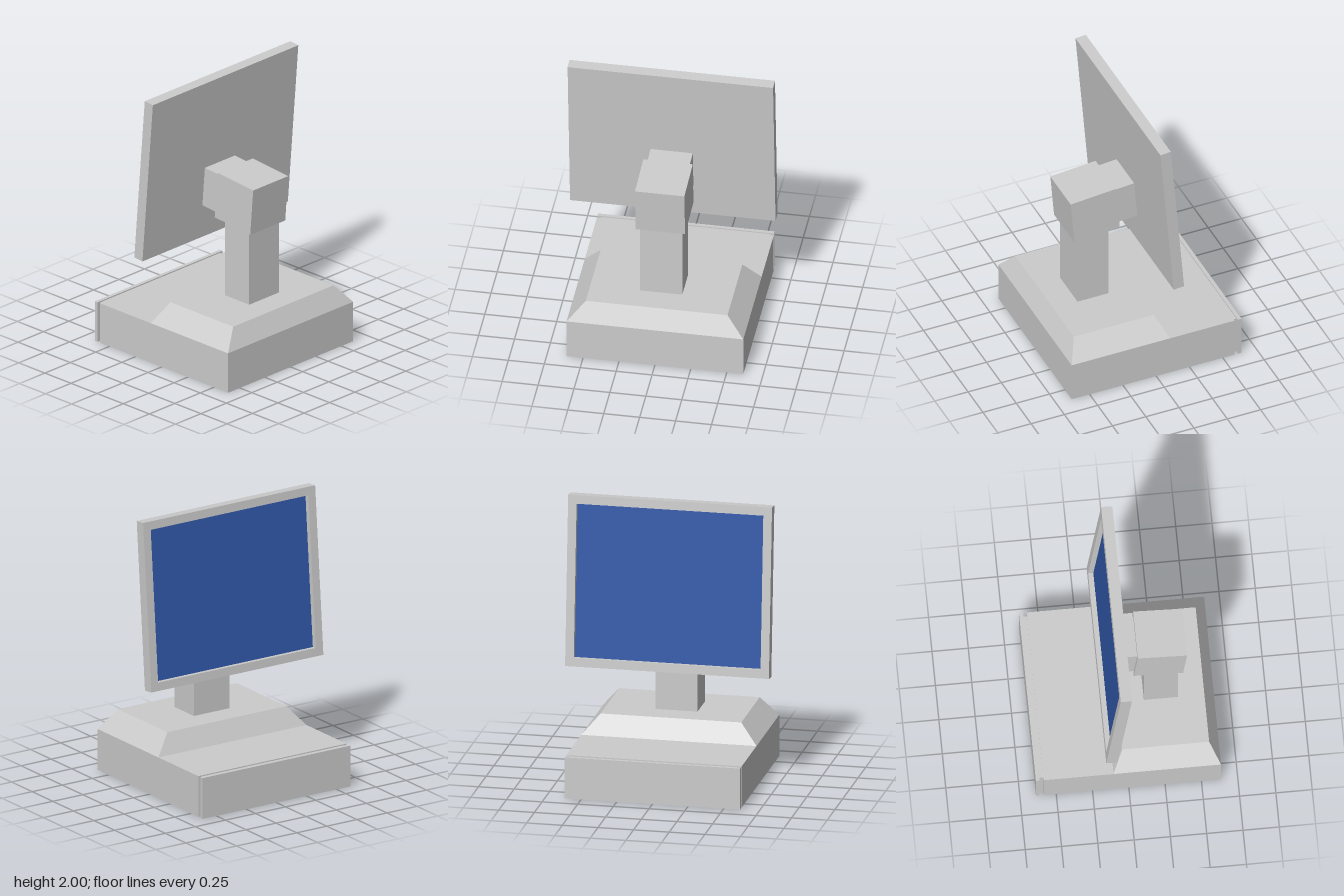
import * as THREE from 'three';

const grey = new THREE.MeshStandardMaterial({ color: 0xcccccc });
const blue = new THREE.MeshStandardMaterial({ color: 0x3058a8 });

function mesh(name, geometry, material = grey) {
  const m = new THREE.Mesh(geometry, material);
  m.name = name;
  return m;
}

// Box spanning x0..x1 and y0..y1, with half depth hz about z = 0
function box(name, x0, x1, y0, y1, hz, material) {
  const g = new THREE.BoxGeometry(x1 - x0, y1 - y0, 2 * hz);
  g.translate((x0 + x1) / 2, (y0 + y1) / 2, 0);
  return mesh(name, g, material);
}

// Box whose upper face is drawn in by dx and dz on each side
function taperedBox(name, x0, x1, y0, y1, hz, dx, dz) {
  const m = box(name, x0, x1, y0, y1, hz);
  const p = m.geometry.attributes.position;
  const mid = (x0 + x1) / 2;
  for (let i = 0; i < p.count; i++) {
    if (p.getY(i) < (y0 + y1) / 2) continue;
    p.setX(i, p.getX(i) - Math.sign(p.getX(i) - mid) * dx);
    p.setZ(i, p.getZ(i) - Math.sign(p.getZ(i)) * dz);
  }
  m.geometry.computeVertexNormals();
  return m;
}

function rectangle(PathType, hw, hh) {
  return new PathType([[-hw, -hh], [hw, -hh], [hw, hh], [-hw, hh]].map(([x, y]) => new THREE.Vector2(x, y)));
}

// Tilted display: the screen faces -x and is sunk behind a bezel
function createDisplay() {
  const display = new THREE.Group();
  display.name = 'display';
  const hx = 0.039, hy = 0.602, hz = 0.715, rim = 0.06;

  const frame = rectangle(THREE.Shape, hz, hy);
  frame.holes.push(rectangle(THREE.Path, hz - rim, hy - rim));
  const bezel = new THREE.ExtrudeGeometry(frame, { depth: hx, bevelEnabled: false });
  bezel.rotateY(-Math.PI / 2);

  display.add(
    mesh('bezel', bezel),
    box('backPanel', 0, hx, -hy, hy, hz),
    box('screen', -0.003, 0.01, rim - hy, hy - rim, hz - rim, blue),
    box('mountNeck', hx, 0.19, -0.352, -0.064, 0.147),
    box('mountHead', 0.184, 0.525, -0.379, -0.037, 0.172)
  );
  display.position.set(-0.076, 1.397, 0);
  display.rotation.z = -0.083;
  return display;
}

export function createModel() {
  const model = new THREE.Group();
  model.name = 'displayTerminal';
  model.add(
    // Base with a front plate set off by a narrow groove
    box('base', -0.588, 0.635, 0, 0.295, 0.615),
    box('grooveFiller', -0.614, -0.588, 0.01, 0.287, 0.59),
    box('frontPlate', -0.64, -0.614, 0, 0.295, 0.615),
    taperedBox('plinth', -0.105, 0.635, 0.295, 0.435, 0.615, 0.07, 0.122),
    // Upright column reaching into the mount head
    box('post', 0.148, 0.382, 0.435, 1.06, 0.147),
    createDisplay()
  );
  return model;
}
